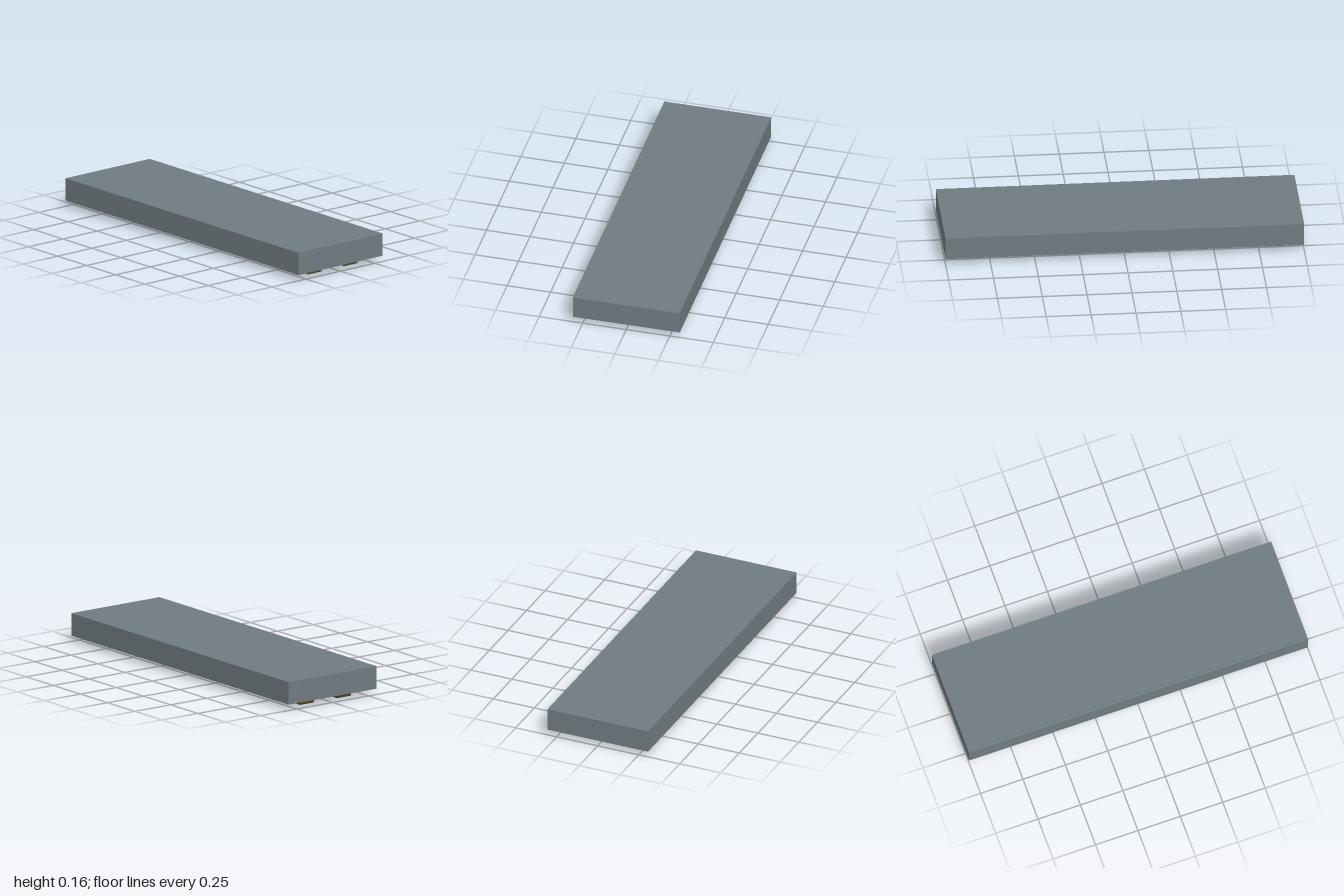
import * as THREE from 'three';

const slate = new THREE.MeshStandardMaterial({ name: 'slate grey', color: 0x6f7b81 });
const wood = new THREE.MeshStandardMaterial({ name: 'dark brown', color: 0x4a3a22 });

const LENGTH = 2, WIDTH = 0.614, BASE = 0.033, TOP = 0.162, RECESS = 0.008;

function rectangle(Type, x0, x1, z0, z1) {
  return new Type([
    new THREE.Vector2(x0, z0), new THREE.Vector2(x1, z0),
    new THREE.Vector2(x1, z1), new THREE.Vector2(x0, z1),
  ]);
}

export function createModel() {
  const model = new THREE.Group();
  model.name = 'slabOnRunners';

  // Slab with a shallow slot beneath each long edge
  const outline = rectangle(THREE.Shape, -LENGTH / 2, LENGTH / 2, -WIDTH / 2, WIDTH / 2);
  outline.holes.push(
    rectangle(THREE.Path, -0.95, 0.95, 0.1, 0.247),
    rectangle(THREE.Path, -0.95, 0.95, -0.247, -0.1),
  );
  const layer = new THREE.ExtrudeGeometry(outline, { depth: RECESS, bevelEnabled: false });
  layer.rotateX(-Math.PI / 2);
  const underside = new THREE.Mesh(layer, slate);
  underside.name = 'slabUnderside';
  underside.position.y = BASE;
  model.add(underside);

  const body = TOP - BASE - RECESS;
  const slab = new THREE.Mesh(new THREE.BoxGeometry(LENGTH, body, WIDTH), slate);
  slab.name = 'slab';
  slab.position.y = TOP - body / 2;
  model.add(slab);

  // Runners and their mounting plates set into the slots
  for (const side of [-1, 1]) {
    const runner = new THREE.Mesh(new THREE.BoxGeometry(1.87, BASE + 0.004, 0.097), wood);
    runner.name = side > 0 ? 'frontRunner' : 'backRunner';
    runner.position.set(0, (BASE + 0.004) / 2, side * 0.13);
    model.add(runner);

    const plate = new THREE.Mesh(new THREE.BoxGeometry(1.898, 0.004, 0.145), wood);
    plate.name = side > 0 ? 'frontMountingPlate' : 'backMountingPlate';
    plate.position.set(0, BASE + 0.006, side * 0.1735);
    model.add(plate);
  }
  return model;
}
